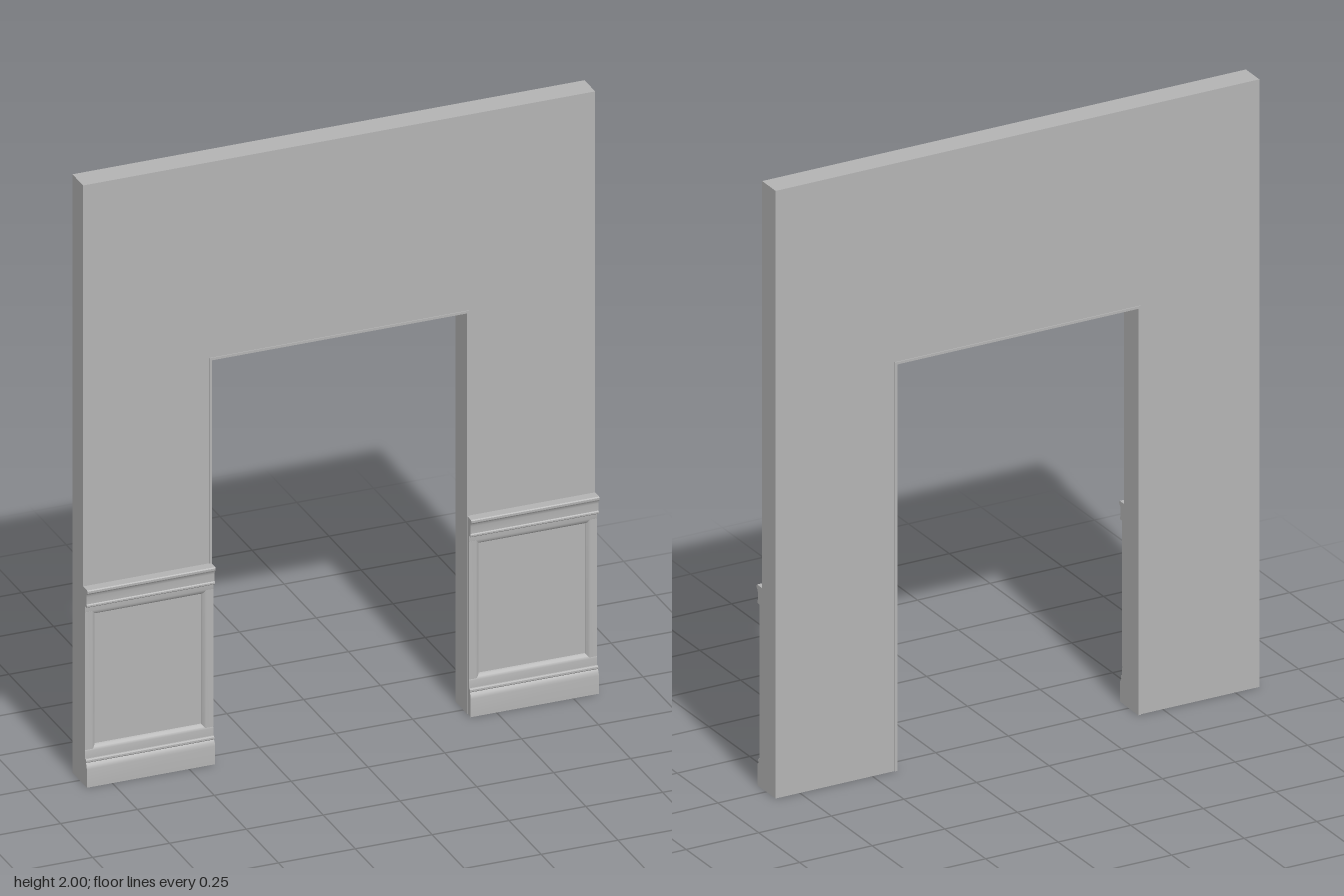
import * as THREE from 'three';
import { toCreasedNormals } from 'three/addons/utils/BufferGeometryUtils.js';

const plaster = new THREE.MeshStandardMaterial({ color: 0xb3b3b3 });
plaster.name = 'grey plaster';

const HALF_W = 0.833, OPEN_W = 0.423, OPEN_H = 1.346;
const BACK = -0.057, FACE = 0.026, LINING = 0.008;

function mesh(name, geometry) {
  const m = new THREE.Mesh(geometry, plaster);
  m.name = name;
  return m;
}

function extrude(points, depth) {
  const shape = new THREE.Shape(points.map(([a, b]) => new THREE.Vector2(a, b)));
  return new THREE.ExtrudeGeometry(shape, { depth, bevelEnabled: false });
}

// Upside-down U outline shared by the wall and the opening's lining
function arch(halfOuter, top, halfInner, innerTop, z0, z1) {
  const g = extrude([
    [-halfOuter, 0], [-halfInner, 0], [-halfInner, innerTop], [halfInner, innerTop],
    [halfInner, 0], [halfOuter, 0], [halfOuter, top], [-halfOuter, top],
  ], z1 - z0);
  return g.translate(0, 0, z0);
}

// Profile of [z, y] points swept along x
function molding(name, profile, x0, x1) {
  const g = extrude(profile, x1 - x0).rotateY(-Math.PI / 2).translate(x1, 0, 0);
  return mesh(name, toCreasedNormals(g, 0.6));
}

// Upright strip with a softened inner edge; dir points towards the panel
function stile(x, dir, y0, y1) {
  const g = extrude([
    [x, -FACE], [x, -0.042], [x + dir * 0.022, -0.042], [x + dir * 0.028, -0.040],
    [x + dir * 0.033, -0.035], [x + dir * 0.036, -FACE],
  ], y1 - y0).rotateX(-Math.PI / 2).translate(0, y0, 0);
  return mesh('stile', toCreasedNormals(g, 0.6));
}

const BASEBOARD = [
  [FACE, 0], [0.055, 0], [0.055, 0.06], [0.053, 0.072], [0.047, 0.079],
  [0.050, 0.082], [0.050, 0.088], [0.046, 0.091], [FACE, 0.091],
];
const BOTTOM_RAIL = [
  [FACE, 0.091], [0.042, 0.091], [0.042, 0.115], [0.040, 0.123], [0.035, 0.129], [FACE, 0.132],
];
const TOP_RAIL = [
  [FACE, 0.565], [0.035, 0.568], [0.040, 0.574], [0.042, 0.582], [0.042, 0.605], [FACE, 0.605],
];
const CHAIR_RAIL = [
  [FACE, 0.600], [0.052, 0.600], [0.055, 0.603], [0.055, 0.608], [0.052, 0.611],
  [0.052, 0.635], [0.054, 0.644], [0.060, 0.650], [0.060, 0.657], [0.057, 0.660], [FACE, 0.660],
];

// Panelling on one leg of the wall
function wainscot(x0, x1) {
  const g = new THREE.Group();
  g.add(
    molding('baseboard', BASEBOARD, x0, x1),
    molding('bottomRail', BOTTOM_RAIL, x0, x1),
    molding('topRail', TOP_RAIL, x0, x1),
    molding('chairRail', CHAIR_RAIL, x0, x1),
    stile(x0, 1, 0.12, 0.58),
    stile(x1, -1, 0.12, 0.58),
  );
  const panel = new THREE.BoxGeometry(x1 - x0 - 0.06, 0.45, 0.004);
  panel.translate((x0 + x1) / 2, 0.348, FACE + 0.001);
  g.add(mesh('panel', panel));
  return g;
}

export function createModel() {
  const model = new THREE.Group();
  model.name = 'wallWithDoorway';

  model.add(mesh('wall', arch(HALF_W, 2, OPEN_W, OPEN_H, BACK, FACE)));
  // Thin lining standing just proud of both wall faces
  model.add(mesh('doorwayLining',
    arch(OPEN_W, OPEN_H, OPEN_W - LINING, OPEN_H - LINING, BACK - 0.003, FACE + 0.003)));

  const inner = OPEN_W - LINING + 0.001;
  const right = wainscot(-HALF_W, -inner);
  right.name = 'rightWainscot';
  const left = wainscot(inner, HALF_W);
  left.name = 'leftWainscot';
  model.add(right, left);
  return model;
}
